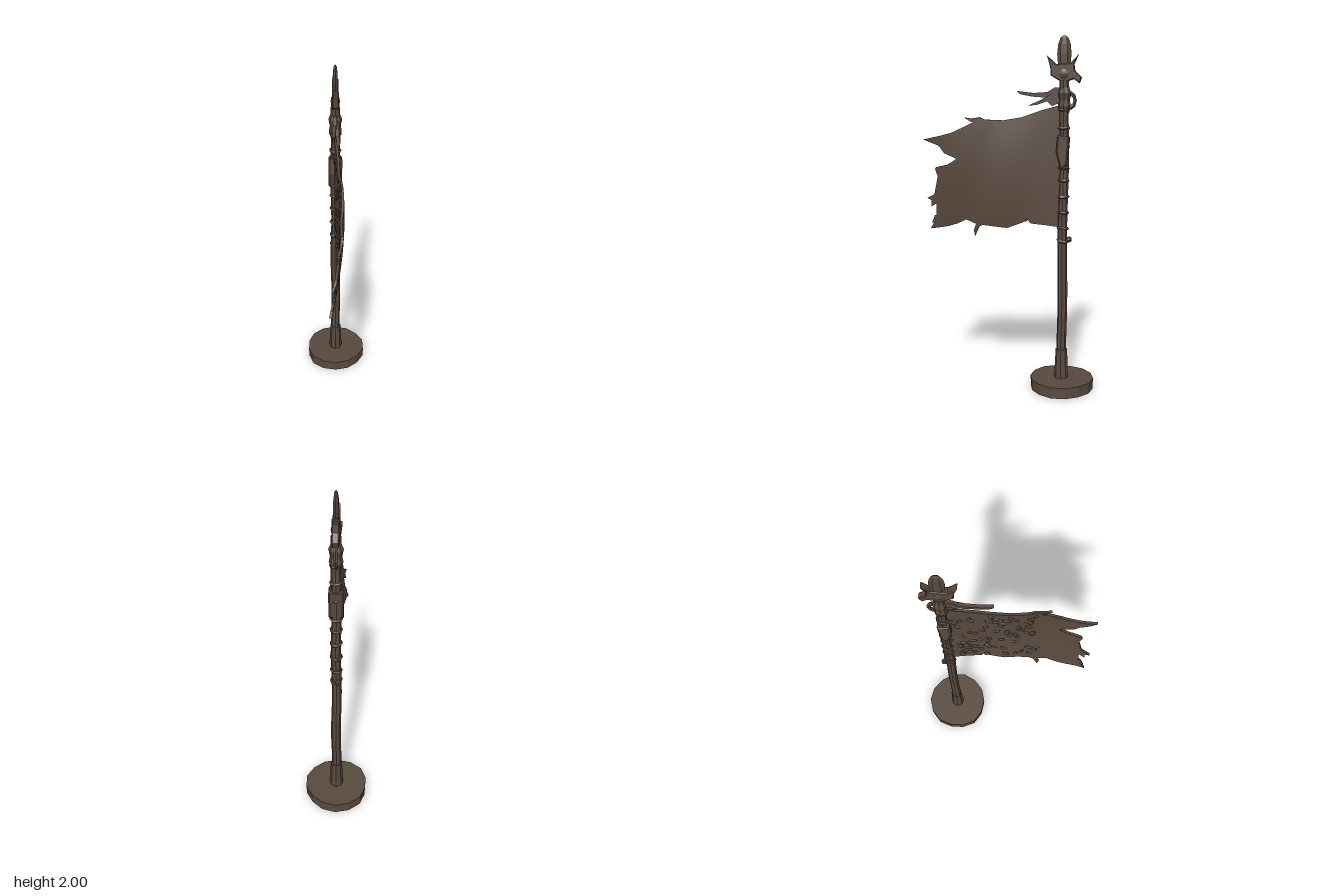
import * as THREE from 'three';
import { toCreasedNormals } from 'three/addons/utils/BufferGeometryUtils.js';

const POLE_Z = -0.303;

export function createModel() {
  const group = new THREE.Group();
  const brown = new THREE.MeshStandardMaterial({ color: 0x594a3f, side: THREE.DoubleSide });
  brown.name = 'weathered brown';

  let seed = 7;
  const rand = () => (seed = (seed * 16807) % 2147483647) / 2147483647;

  function add(name, geometry, x = 0, y = 0, z = 0, flat = true) {
    let g = geometry;
    if (flat) {
      g = g.index ? g.toNonIndexed() : g;
      g.computeVertexNormals();
    }
    const mesh = new THREE.Mesh(g, brown);
    mesh.name = name;
    mesh.position.set(x, y, z);
    group.add(mesh);
    return mesh;
  }

  // Shift every corner of a geometry by a rule of its position
  function warp(geometry, rule) {
    const p = geometry.attributes.position, v = new THREE.Vector3();
    for (let i = 0; i < p.count; i++) {
      rule(v.fromBufferAttribute(p, i));
      p.setXYZ(i, v.x, v.y, v.z);
    }
    return geometry;
  }

  // Plate outlined in (z, y), with its thickness along x
  function plate(name, outline, depth, bevel = 0, rule = null) {
    const shape = new THREE.Shape(outline.map(([z, y]) => new THREE.Vector2(-z, y)));
    const g = new THREE.ExtrudeGeometry(shape, {
      depth, bevelEnabled: bevel > 0, bevelSize: bevel, bevelThickness: bevel, bevelOffset: -bevel, bevelSegments: 1,
    });
    g.translate(0, 0, -depth / 2).rotateY(Math.PI / 2);
    return add(name, rule ? warp(g, rule) : g);
  }

  // Stone base: an uneven fourteen-sided disc
  const uneven = (v) => {
    const a = Math.atan2(v.z, v.x), k = 1 + 0.018 * Math.sin(a * 3 + 1) + 0.012 * Math.cos(a * 5);
    v.x *= k; v.z *= k;
  };
  add('base', warp(new THREE.CylinderGeometry(0.178, 0.18, 0.062, 14), uneven), 0, 0.031, -0.305);
  add('baseRim', warp(new THREE.CylinderGeometry(0.182, 0.182, 0.022, 14), uneven), 0, 0.052, -0.305);

  // Pole with a thicker foot sleeve
  const wobble = (v) => {
    v.x += 0.003 * Math.sin(v.y * 11);
    v.z += 0.003 * Math.cos(v.y * 8);
  };
  add('pole', warp(new THREE.CylinderGeometry(0.026, 0.028, 1.7, 8, 14), wobble), 0, 0.91, POLE_Z);
  add('footSleeve', new THREE.CylinderGeometry(0.033, 0.04, 0.17, 8), 0, 0.147, POLE_Z);

  // Cloth lashings round the pole
  for (const y of [0.87, 0.94, 1.03, 1.12, 1.21, 1.28, 1.4, 1.5, 1.6]) {
    const ring = new THREE.TorusGeometry(0.027, 0.0085, 5, 9);
    ring.rotateX(Math.PI / 2 + 0.5 * (rand() - 0.5)).rotateY(rand() * 6);
    add('lashing', ring, 0, y, POLE_Z);
  }
  add('lashingKnot', new THREE.IcosahedronGeometry(0.019, 0), -0.01, 0.875, -0.337);
  plate('poleSleeve', [[-0.27, 1.46], [-0.335, 1.45], [-0.325, 1.3], [-0.29, 1.27], [-0.262, 1.37]], 0.062, 0.008);

  // Flag: a patch spanned between torn edges, points as (z, y)
  const topEdge = [[-0.3, 1.63], [-0.18, 1.597], [-0.07, 1.558], [0.035, 1.54], [0.165, 1.545],
    [0.21, 1.525], [0.26, 1.5], [0.325, 1.47], [0.4, 1.45], [0.49, 1.43]];
  const bottomEdge = [[-0.3, 0.945], [-0.2, 0.957], [-0.12, 0.965], [-0.1, 0.993], [-0.08, 0.97], [0.01, 0.935],
    [0.14, 0.947], [0.2, 0.955], [0.25, 0.975], [0.3, 0.95], [0.36, 0.93], [0.47, 0.91]];
  const outerEdge = [[0.49, 1.43], [0.4, 1.395], [0.37, 1.355], [0.295, 1.325], [0.35, 1.29], [0.43, 1.27],
    [0.412, 1.22], [0.437, 1.115], [0.485, 1.09], [0.425, 1.07], [0.43, 0.98], [0.445, 0.95], [0.47, 0.91]];
  const poleEdge = [[-0.3, 1.63], [-0.3, 0.945]];

  function polyline(points) {
    const path = new THREE.CurvePath();
    const v = points.map(([z, y]) => new THREE.Vector2(z, y));
    for (let i = 1; i < v.length; i++) path.add(new THREE.LineCurve(v[i - 1], v[i]));
    return (t) => path.getPoint(t);
  }

  function sway(z, y) {
    const s = THREE.MathUtils.clamp((z + 0.3) / 0.79, 0, 1);
    const h = THREE.MathUtils.clamp((y - 0.9) / 0.73, 0, 1);
    return 0.032 * Math.sin(Math.PI * s) * Math.sin(Math.PI * Math.min(1, h * 0.85 + 0.1))
      + 0.007 * s * Math.sin(15 * s + 5 * h) + 0.1 * s ** 3 * (h - 0.47);
  }

  function flagGeometry(nu, nv, half) {
    const [top, bottom, outer, inner] = [topEdge, bottomEdge, outerEdge, poleEdge].map(polyline);
    const T = [], B = [], O = [], I = [];
    for (let i = 0; i <= nu; i++) { T.push(top(i / nu)); B.push(bottom(i / nu)); }
    for (let j = 0; j <= nv; j++) { O.push(outer(j / nv)); I.push(inner(j / nv)); }
    const blend = (i, j, k) => {
      const u = i / nu, v = j / nv;
      return (1 - v) * T[i][k] + v * B[i][k] + (1 - u) * I[j][k] + u * O[j][k]
        - (1 - u) * (1 - v) * T[0][k] - u * (1 - v) * T[nu][k] - (1 - u) * v * B[0][k] - u * v * B[nu][k];
    };
    const pos = [], idx = [], count = (nu + 1) * (nv + 1);
    for (const side of [half, -half])
      for (let j = 0; j <= nv; j++)
        for (let i = 0; i <= nu; i++) {
          const z = blend(i, j, 'x'), y = blend(i, j, 'y');
          pos.push(sway(z, y) + side, y, z);
        }
    const at = (i, j) => j * (nu + 1) + i;
    const quad = (a, b, c, d) => idx.push(a, b, c, a, c, d);
    for (let j = 0; j < nv; j++)
      for (let i = 0; i < nu; i++) {
        const a = at(i, j), b = at(i, j + 1), c = at(i + 1, j + 1), d = at(i + 1, j);
        quad(a, d, c, b);
        quad(a + count, b + count, c + count, d + count);
      }
    // Rim joining both faces
    const rim = (a, b) => quad(a, b, b + count, a + count);
    for (let i = 0; i < nu; i++) { rim(at(i + 1, 0), at(i, 0)); rim(at(i, nv), at(i + 1, nv)); }
    for (let j = 0; j < nv; j++) { rim(at(0, j), at(0, j + 1)); rim(at(nu, j + 1), at(nu, j)); }
    const g = new THREE.BufferGeometry();
    g.setAttribute('position', new THREE.Float32BufferAttribute(pos, 3));
    // Winding: +x face must look outward
    for (let k = 0; k < idx.length; k += 3) [idx[k + 1], idx[k + 2]] = [idx[k + 2], idx[k + 1]];
    g.setIndex(idx);
    return toCreasedNormals(g, 0.7);
  }
  add('flag', flagGeometry(64, 56, 0.007), 0, 0, 0, false);

  // Loose shreds along the flag's edges
  const follow = (v) => { v.x += sway(v.z, v.y); };
  const shreds = [
    [[0.12, 1.535], [0.165, 1.557], [0.21, 1.55], [0.25, 1.555], [0.22, 1.535], [0.17, 1.52]],
    [[0.14, 0.955], [0.175, 0.935], [0.2, 0.88], [0.207, 0.915], [0.195, 0.945], [0.19, 0.97]],
    [[0.41, 1.12], [0.455, 1.1], [0.46, 1.04], [0.43, 1.06], [0.4, 1.08]],
    [[0.4, 1.0], [0.44, 0.99], [0.46, 0.945], [0.42, 0.95]],
  ];
  for (const s of shreds) plate('shred', s, 0.012, 0, follow);

  // Ragged scraps clinging to the flag's right face
  for (let i = 0; i < 75; i++) {
    const z = -0.27 + 0.46 * rand(), y = 0.98 + 0.54 * rand();
    const scrap = new THREE.IcosahedronGeometry(1, 0);
    scrap.scale(0.007, 0.014 + 0.016 * rand(), 0.009 + 0.01 * rand()).rotateX(rand() * 3);
    add('scrap', scrap, sway(z, y) - 0.008, y, z);
  }

  // Neck wrap, knot loop and ribbon tails
  const neck = [[0.026, 1.58], [0.036, 1.62], [0.03, 1.65], [0.038, 1.69], [0.026, 1.72], [0.022, 1.78]];
  add('neckWrap', new THREE.LatheGeometry(neck.map(([r, y]) => new THREE.Vector2(r, y)), 8), 0, 0, POLE_Z);
  const loop = new THREE.TorusGeometry(0.026, 0.01, 5, 9);
  loop.rotateY(Math.PI / 2).scale(1, 1.4, 1);
  add('knotLoop', loop, 0, 1.65, -0.335);
  plate('ribbonTail', [[-0.29, 1.72], [-0.25, 1.72], [-0.21, 1.695], [-0.13, 1.69], [-0.04, 1.7],
    [-0.06, 1.682], [-0.13, 1.67], [-0.2, 1.665], [-0.29, 1.66]], 0.018, 0, (v) => { v.x -= 0.05 * (v.z + 0.3); });
  plate('ribbonTail', [[-0.29, 1.7], [-0.23, 1.685], [-0.17, 1.65], [-0.105, 1.622], [-0.15, 1.625],
    [-0.21, 1.645], [-0.235, 1.62], [-0.29, 1.64]], 0.018, 0, (v) => { v.x += 0.08 * (v.z + 0.3); });

  // Horned finial head and leaf-shaped blade
  plate('finialHead', [[-0.207, 1.89], [-0.225, 1.83], [-0.228, 1.785], [-0.26, 1.765], [-0.295, 1.745], [-0.355, 1.765],
    [-0.385, 1.742], [-0.397, 1.775], [-0.36, 1.81], [-0.355, 1.845], [-0.377, 1.895], [-0.335, 1.85],
    [-0.255, 1.845], [-0.235, 1.865]], 0.026, 0.005);
  add('finialCollar', new THREE.IcosahedronGeometry(0.032, 1).scale(0.8, 1.2, 1.5), 0, 1.795, -0.3);
  const blade = [[0.02, 1.76], [0.033, 1.83], [0.039, 1.9], [0.034, 1.95], [0.022, 1.985], [0, 2]];
  add('blade', new THREE.LatheGeometry(blade.map(([r, y]) => new THREE.Vector2(r, y)), 6).scale(0.42, 1, 1), 0, 0, -0.3);

  return group;
}
